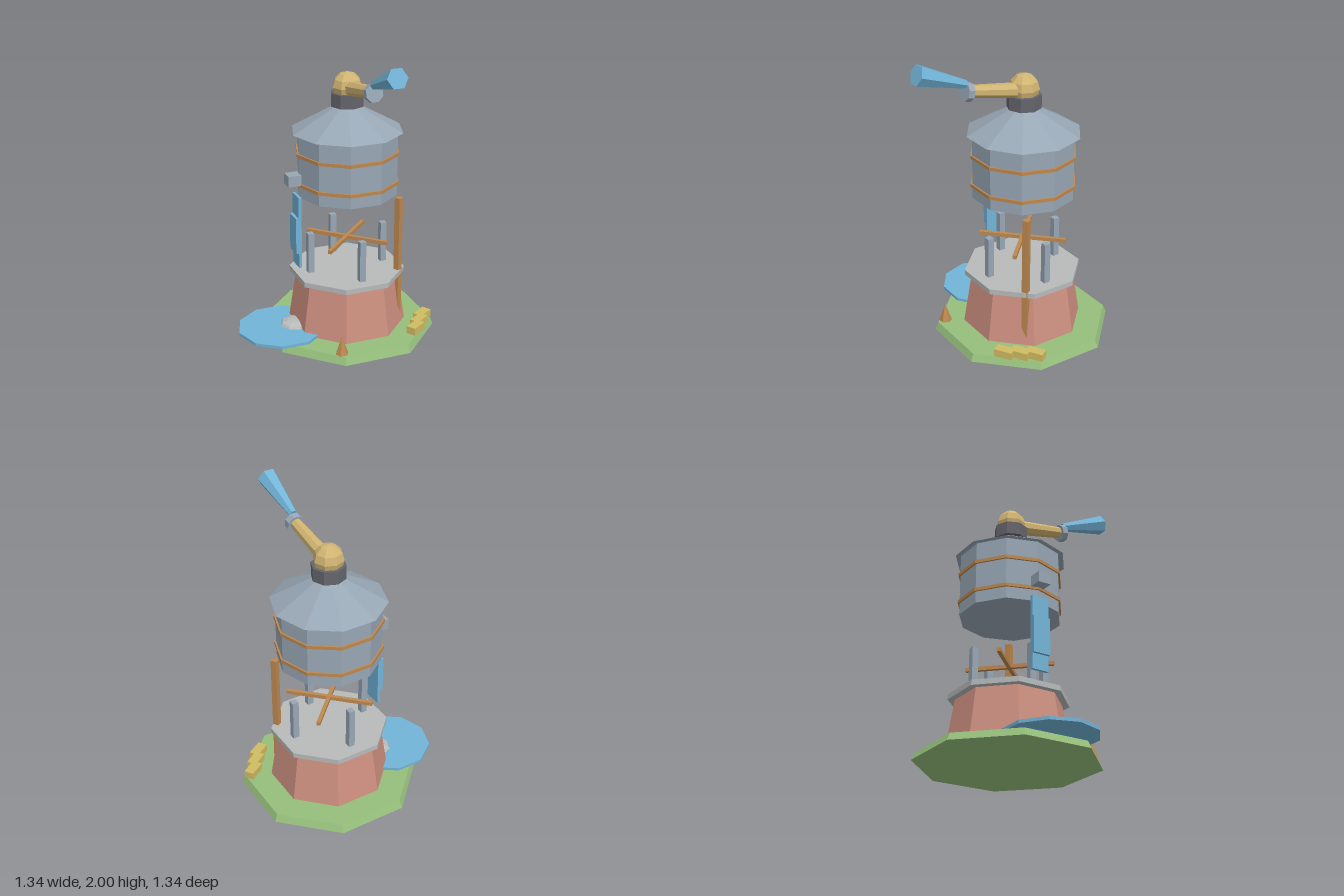
import * as THREE from 'three';

const CX = 0.11, CZ = -0.11; // tower axis

const material = (name, color) => {
  const m = new THREE.MeshStandardMaterial({ color });
  m.name = name;
  return m;
};

export function createModel() {
  const grass = material('grass', 0x96bf7c);
  const brick = material('brick', 0xcd9080);
  const stone = material('stone', 0xb8bbbb);
  const metal = material('metal', 0x98a7b5);
  const darkMetal = material('darkMetal', 0x64646c);
  const wood = material('wood', 0xbd8850);
  const gold = material('gold', 0xd0b472);
  const water = material('water', 0x72b4d8);
  const straw = material('straw', 0xd0bc62);

  const model = new THREE.Group();
  model.name = 'waterTower';

  // Faceted mesh: split vertices so every face has its own normal
  const add = (name, geo, mat, x = 0, y = 0, z = 0) => {
    const g = geo.index ? geo.toNonIndexed() : geo;
    g.computeVertexNormals();
    const mesh = new THREE.Mesh(g, mat);
    mesh.name = name;
    mesh.position.set(x, y, z);
    model.add(mesh);
    return mesh;
  };
  // Upright prism or frustum between two heights, first corner turned by `turn`
  const prism = (name, mat, rTop, rBottom, y0, y1, sides, turn, x = CX, z = CZ) =>
    add(name, new THREE.CylinderGeometry(rTop, rBottom, y1 - y0, sides, 1, false, turn), mat, x, (y0 + y1) / 2, z);
  // Frustum between two points
  const rod = (name, mat, a, b, rA, rB, sides, turn) => {
    const from = new THREE.Vector3(...a), dir = new THREE.Vector3(...b).sub(from);
    const mesh = add(name, new THREE.CylinderGeometry(rB, rA, dir.length(), sides, 1, false, turn), mat);
    mesh.position.copy(from).addScaledVector(dir, 0.5);
    mesh.quaternion.setFromUnitVectors(new THREE.Vector3(0, 1, 0), dir.normalize());
    return mesh;
  };
  const box = (name, mat, size, pos, turn = 0) => {
    const mesh = add(name, new THREE.BoxGeometry(...size), mat, ...pos);
    mesh.rotation.y = turn;
    return mesh;
  };

  // Octagons with flat sides facing the axes are given by apothem
  const oct = Math.PI / 8, flat = 1 / Math.cos(oct), deca = Math.PI / 10;
  prism('ground', grass, 0.537 * flat, 0.558 * flat, 0, 0.05, 8, oct);
  prism('brickBase', brick, 0.32 * flat, 0.372 * flat, 0.05, 0.41, 8, oct);
  prism('stoneSlab', stone, 0.363 * flat, 0.363 * flat, 0.407, 0.442, 8, oct);

  // Four posts and crossed beams
  for (let i = 0; i < 4; i++) {
    const a = i * Math.PI / 2;
    box('post', metal, [0.043, 0.285, 0.043], [CX + 0.265 * Math.sin(a), 0.583, CZ + 0.265 * Math.cos(a)]);
  }
  for (const s of [-1, 1])
    box('crossBeam', wood, [0.585, 0.025, 0.025], [CX, 0.658, CZ], s * Math.PI / 4);
  box('pole', wood, [0.04, 0.91, 0.04], [0.411, 0.507, 0.07], Math.PI / 6);

  // Tank, hoops and roof
  prism('tank', metal, 0.34, 0.34, 0.99, 1.42, 10, deca);
  for (const y of [1.08, 1.28])
    prism('hoop', wood, 0.352, 0.352, y - 0.011, y + 0.011, 10, deca);
  const roof = new THREE.ConeGeometry(0.375, 0.21, 10, 1, false, deca);
  add('roof', roof, metal, CX, 1.525, CZ);

  // Cannon turret on top
  prism('turretRing', darkMetal, 0.113, 0.113, 1.585, 1.675, 8, 0);
  add('turretDome', new THREE.SphereGeometry(0.1, 8, 6), gold, CX, 1.71, CZ);
  rod('barrel', gold, [CX, 1.697, CZ], [CX, 1.772, 0.29], 0.052, 0.039, 8, oct);
  rod('nozzle', metal, [CX, 1.767, 0.286], [CX, 1.776, 0.328], 0.06, 0.06, 8, oct);
  rod('waterJet', water, [CX, 1.824, 0.32], [CX, 1.946, 0.653], 0.028, 0.068, 6, Math.PI / 6);

  // Spout, falling water and pond
  box('spout', metal, [0.09, 0.073, 0.09], [-0.27, 1.12, -0.115]);
  box('fallingWater', water, [0.02, 0.5, 0.12], [-0.246, 0.76, CZ]);
  box('fallingWaterFront', water, [0.02, 0.25, 0.12], [-0.266, 0.74, CZ]);
  prism('pond', water, 0.3, 0.3, 0.053, 0.073, 10, deca, -0.37, CZ);
  add('rock', new THREE.SphereGeometry(0.108, 8, 6).scale(1, 0.35, 1), stone, -0.27, 0.069, CZ);

  // Straw bricks and small spike on the ground
  for (const [x, z] of [[0.464, 0.267], [0.527, 0.188], [0.588, 0.11]])
    box('strawBrick', straw, [0.122, 0.052, 0.066], [x, 0.076, z], 0.555);
  add('spike', new THREE.ConeGeometry(0.044, 0.125, 6, 1, false, Math.PI / 6), wood, -0.118, 0.112, 0.367);

  return model;
}
